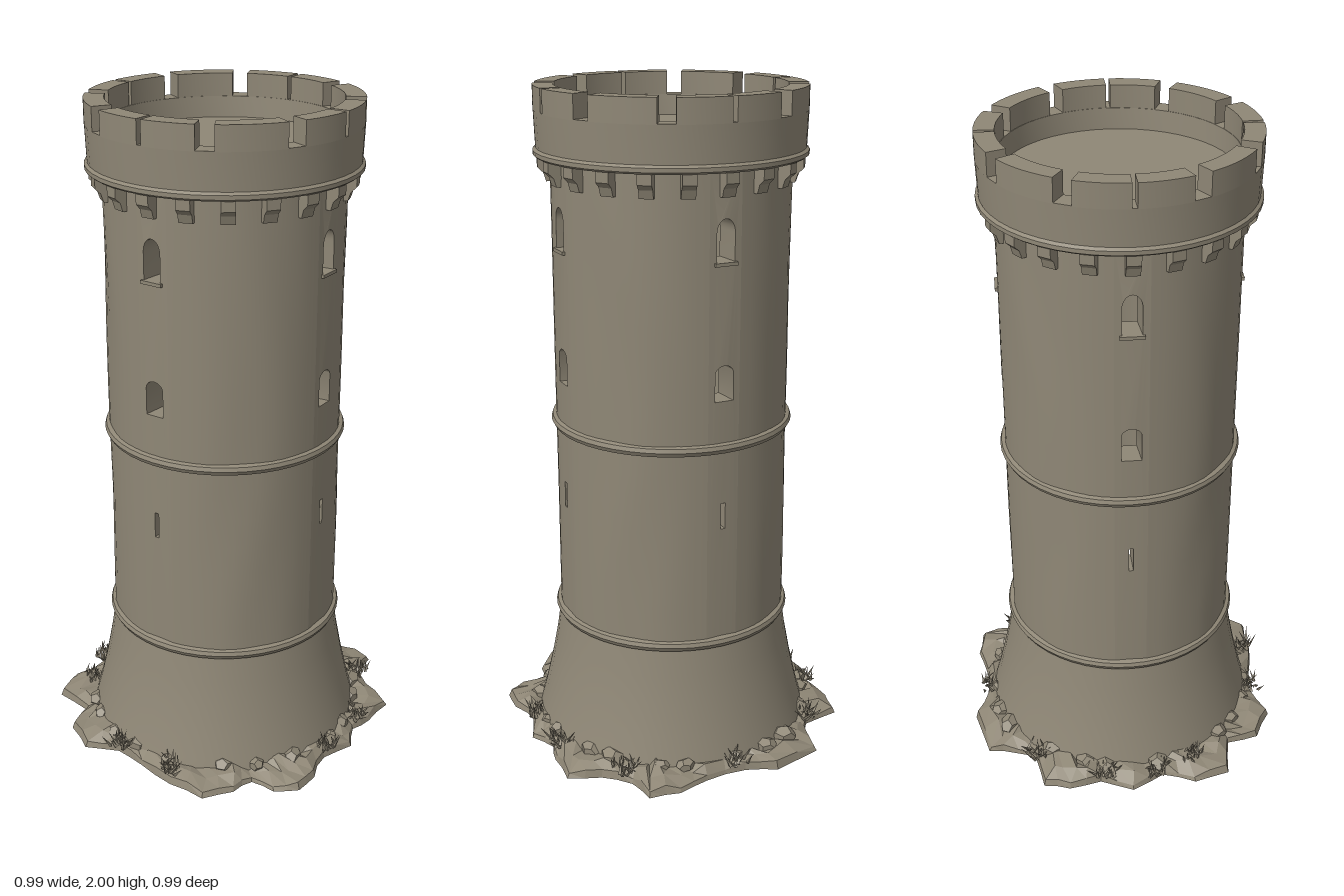
import * as THREE from 'three';
import { mergeGeometries, toCreasedNormals } from 'three/addons/utils/BufferGeometryUtils.js';

const WALL_R = 0.35, THICK = 0.08, WALL_BOTTOM = 0.4, WALL_TOP = 1.82, SLOT = 0.14;

export function createModel() {
  const model = new THREE.Group();
  const stone = new THREE.MeshStandardMaterial({ color: 0x8f8776 });
  stone.name = 'weathered stone';

  let seed = 7;
  const rand = (a, b) => {
    seed = (seed * 16807) % 2147483647;
    return a + (b - a) * (seed / 2147483647);
  };
  const add = (name, geometry, parent = tower) => {
    const mesh = new THREE.Mesh(geometry, stone);
    mesh.name = name;
    parent.add(mesh);
    return mesh;
  };
  const lathe = (points, segments = 48, start = 0, length = Math.PI * 2) =>
    new THREE.LatheGeometry(points.map(([r, y]) => new THREE.Vector2(r, y)), segments, start, length);
  const creased = (g) => toCreasedNormals(g, 0.6);
  const faceted = (g) => {
    const flat = g.index ? g.toNonIndexed() : g;
    flat.computeVertexNormals();
    return flat;
  };

  const tower = new THREE.Group();
  tower.name = 'tower';
  tower.position.set(0.004, 0, 0.004);
  model.add(tower);

  // Flared foot of the wall
  add('flaredFoot', lathe([[0.432, 0], [0.42, 0.05], [0.406, 0.1], [0.383, 0.2], [0.364, 0.3], [WALL_R, WALL_BOTTOM]]));

  // Curved wall panels between the window columns, slightly uneven
  const rows = 16;
  const outer = [], inner = [];
  for (let i = 0; i <= rows; i++) {
    const y = WALL_BOTTOM + (WALL_TOP - WALL_BOTTOM) * i / rows;
    outer.push([WALL_R, y]);
    inner.unshift([WALL_R - THICK, y]);
  }
  // Window outlines: centre column of each side
  const opening = (w, y0, y1, arch) => {
    const h = new THREE.Path();
    h.moveTo(-w, y0);
    h.lineTo(w, y0);
    h.lineTo(w, y1 - arch);
    if (arch > 0) h.absellipse(0, y1 - arch, w, arch, 0, Math.PI, false);
    else h.lineTo(-w, y1);
    h.closePath();
    return h;
  };
  for (let side = 0; side < 4; side++) {
    const turn = side * Math.PI / 2;
    const panel = lathe(outer, 12, turn + SLOT, Math.PI / 2 - 2 * SLOT);
    const p = panel.attributes.position;
    for (let i = 0; i < p.count; i++) {
      const x = p.getX(i), y = p.getY(i), z = p.getZ(i), a = Math.atan2(x, z);
      const k = 1 + 0.009 * Math.max(0, Math.sin(2 * a) ** 2 - 0.3) * Math.sin(9 * a + 2.5 * Math.sin(4 * y));
      p.setXYZ(i, x * k, y, z * k);
    }
    panel.computeVertexNormals();
    add('wallPanel', panel);
    add('innerWallPanel', lathe(inner, 12, turn + SLOT, Math.PI / 2 - 2 * SLOT));

    // Flat strip with openings, bent to the wall's curve
    const w = SLOT * WALL_R;
    const strip = new THREE.Shape();
    strip.moveTo(-w, WALL_BOTTOM);
    strip.lineTo(w, WALL_BOTTOM);
    strip.lineTo(w, WALL_TOP);
    strip.lineTo(-w, WALL_TOP);
    strip.closePath();
    strip.holes.push(opening(0.007, 0.76, 0.84, 0), opening(0.029, 1.15, 1.255, 0.025), opening(0.028, 1.55, 1.67, 0.04));
    const bent = new THREE.ExtrudeGeometry(strip, { depth: THICK, bevelEnabled: false, curveSegments: 8 });
    const q = bent.attributes.position;
    for (let i = 0; i < q.count; i++) {
      const a = q.getX(i) / WALL_R, r = WALL_R - THICK + q.getZ(i);
      q.setXYZ(i, Math.sin(a) * r, q.getY(i), Math.cos(a) * r);
    }
    bent.computeVertexNormals();
    add('windowStrip', creased(bent)).rotation.y = turn;

    // Sill below the upper window
    const sill = add('windowSill', new THREE.BoxGeometry(0.07, 0.01, 0.03));
    sill.position.set(Math.sin(turn) * 0.342, 1.545, Math.cos(turn) * 0.342);
    sill.rotation.y = turn;
  }

  // String courses round the wall
  for (const y of [0.395, 1.01]) {
    add('stringCourse', creased(lathe([[0.345, y - 0.016], [0.358, y - 0.013], [0.365, y], [0.361, y + 0.012], [0.345, y + 0.018]])));
  }

  // Corbels under the parapet
  const profile = new THREE.Shape([[0.33, 1.73], [0.362, 1.73], [0.37, 1.755], [0.386, 1.77], [0.386, 1.815], [0.33, 1.815]]
    .map(([x, y]) => new THREE.Vector2(x, y)));
  const corbel = new THREE.ExtrudeGeometry(profile, { depth: 0.04, bevelEnabled: false }).translate(0, 0, -0.02);
  for (let i = 0; i < 20; i++) add('corbel', corbel).rotation.y = i * Math.PI / 10;

  // Parapet ring and roof floor
  add('parapet', creased(lathe([[0.335, 1.8], [0.39, 1.8], [0.398, 1.806], [0.398, 1.818], [0.39, 1.825],
    [0.394, 1.932], [0.335, 1.932], [0.33, 1.87]])));
  add('roofFloor', new THREE.CylinderGeometry(0.335, 0.335, 0.02, 48)).position.y = 1.86;

  // Merlons, with narrow gaps on the four axes and wide ones between
  const rad = Math.PI / 180, gaps = [];
  for (let q = 0; q < 4; q++) gaps.push([q * 90, 1], [q * 90 + 27, 3.7], [q * 90 + 63, 3.7]);
  gaps.forEach(([angle, half], i) => {
    const [next, nextHalf] = i < 11 ? gaps[i + 1] : [360, 1];
    const a = (angle + half) * rad, b = (next - nextHalf) * rad;
    const arc = new THREE.Shape();
    arc.absarc(0, 0, 0.394, a, b, false);
    arc.absarc(0, 0, 0.336, b, a, true);
    const g = new THREE.ExtrudeGeometry(arc, { depth: 0.07, bevelEnabled: false, curveSegments: 6 });
    add('merlon', creased(g.rotateX(-Math.PI / 2).translate(0, 1.93, 0)));
  });

  // Rocky apron: lobed outline (x, z) raised in rings towards the wall
  const outline = [[-.28, -.45], [-.3, -.36], [-.33, -.3], [-.45, -.28], [-.47, -.2], [-.45, -.1], [-.495, 0], [-.44, .1],
    [-.48, .2], [-.45, .31], [-.32, .33], [-.3, .43], [-.2, .485], [-.1, .44], [0, .455], [.13, .48], [.25, .48], [.31, .4],
    [.33, .33], [.41, .33], [.47, .28], [.475, .2], [.45, .1], [.49, 0], [.45, -.08], [.47, -.15], [.475, -.26], [.38, -.3],
    [.31, -.37], [.295, -.46], [.2, -.475], [.1, -.45], [-.03, -.45], [-.12, -.49]];
  const pos = [], index = [], loop = [];
  outline.forEach(([x, z], i) => {
    const [nx, nz] = outline[(i + 1) % outline.length];
    loop.push([x, z], [(x + nx) / 2 * rand(0.98, 1.01), (z + nz) / 2 * rand(0.98, 1.01)]);
  });
  const n = loop.length, rings = [[0, 0], [0.06, 0.02], [0.4, 0.034], [0.75, 0.04], [1, 0.045]];
  rings.forEach(([t, h], k) => loop.forEach(([x, z]) => {
    const s = 1 + (0.385 / Math.hypot(x, z) - 1) * t, j = k > 1 && k < 4 ? 0.008 : 0;
    pos.push(x * s + rand(-j, j), k ? h * rand(0.55, 1.4) : 0, z * s + rand(-j, j));
  }));
  for (let k = 0; k < rings.length - 1; k++) {
    for (let i = 0; i < n; i++) {
      const a = k * n + i, b = k * n + (i + 1) % n;
      index.push(a, b, a + n, b, b + n, a + n);
    }
  }
  pos.push(0, 0, 0);
  for (let i = 0; i < n; i++) index.push(rings.length * n, (i + 1) % n, i);
  const apron = new THREE.BufferGeometry();
  apron.setAttribute('position', new THREE.Float32BufferAttribute(pos, 3));
  apron.setIndex(index);
  add('rockyApron', faceted(apron), model);

  // Loose boulders half sunk in the apron
  for (let i = 0; i < 22; i++) {
    const a = i / 22 * Math.PI * 2 + rand(-0.1, 0.1), r = rand(0.405, 0.43), s = rand(0.02, 0.034);
    const rock = add('boulder', faceted(new THREE.DodecahedronGeometry(s)), model);
    rock.scale.set(rand(1, 1.6), rand(0.7, 1), 1);
    rock.rotation.y = rand(0, 6);
    rock.position.set(Math.sin(a) * r, 0.037, Math.cos(a) * r);
  }

  // Grass tufts made of thin leaning blades
  const tufts = [[-.34, -.3], [.315, -.335], [-.45, .08], [.44, .08], [.11, .445], [-.09, .435], [0, -.44], [-.44, -.08], [.435, -.11], [-.4, .2]];
  for (const [x, z] of tufts) {
    const blades = [];
    for (let i = 0; i < 22; i++) {
      const h = rand(0.03, 0.055);
      const blade = new THREE.ConeGeometry(0.006, h, 3).translate(0, h / 2, 0);
      blade.rotateX(rand(0.1, 1)).rotateY(rand(0, 6.28));
      blades.push(blade.translate(rand(-0.03, 0.03), 0, rand(-0.03, 0.03)));
    }
    add('grassTuft', faceted(mergeGeometries(blades)), model).position.set(x, 0.03, z);
  }
  return model;
}
